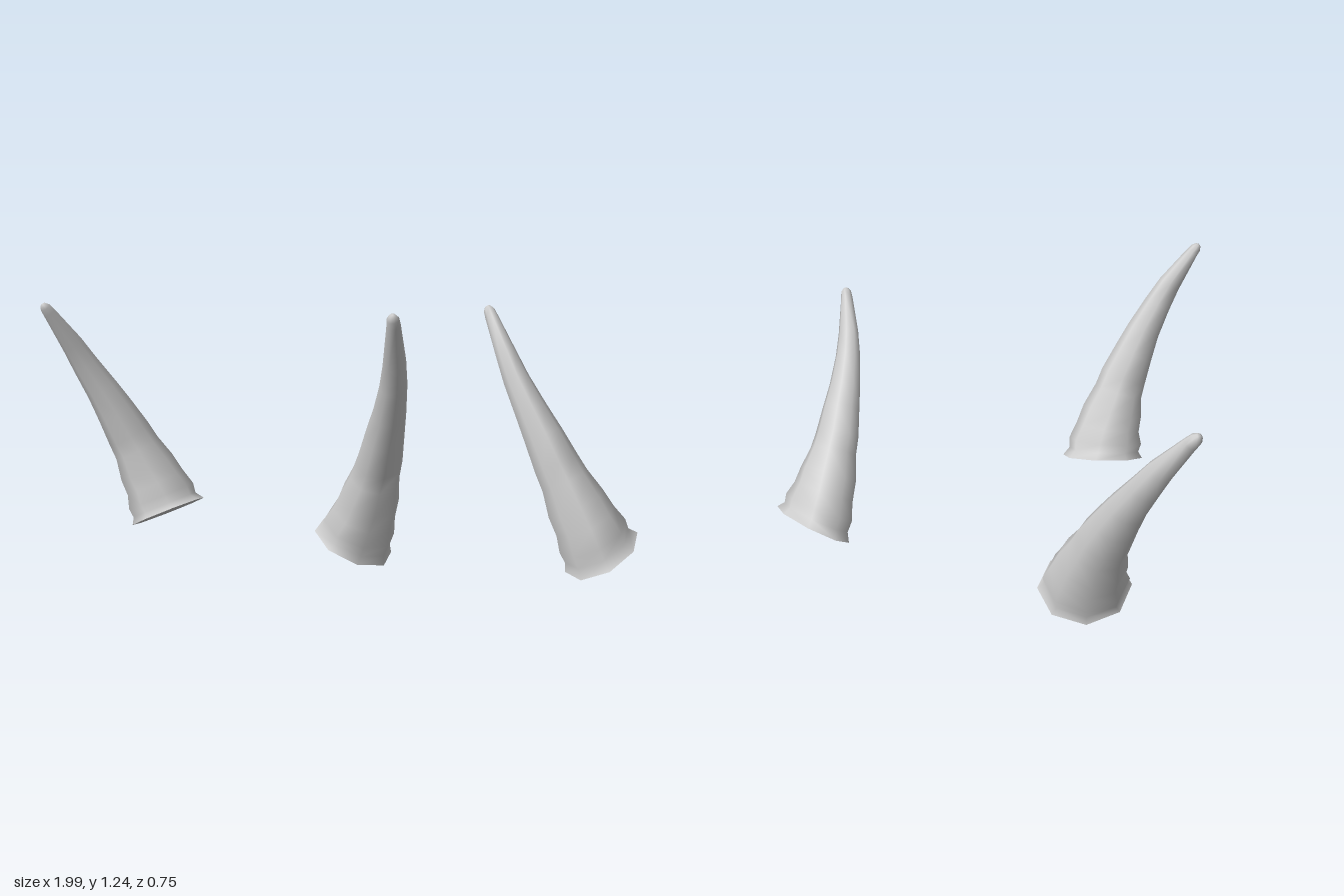
import * as THREE from 'three';

const SIDES = 8;

// Cross-sections from base to tip: centre x, y, z, then half-width and half-depth
const RINGS = [
  [0.565, 0.09, -0.152, 0.198, 0.23],
  [0.585, 0.125, -0.145, 0.173, 0.2],
  [0.603, 0.175, -0.138, 0.176, 0.208],
  [0.633, 0.25, -0.125, 0.154, 0.18],
  [0.67, 0.335, -0.1, 0.145, 0.168],
  [0.712, 0.445, -0.067, 0.118, 0.136],
  [0.745, 0.525, -0.04, 0.11, 0.129],
  [0.79, 0.65, 0.012, 0.095, 0.11],
  [0.836, 0.77, 0.065, 0.079, 0.092],
  [0.887, 0.91, 0.14, 0.063, 0.074],
  [0.918, 1.02, 0.203, 0.051, 0.061],
  [0.963, 1.19, 0.322, 0.031, 0.033],
  [0.969, 1.217, 0.344, 0.027, 0.028],
  [0.973, 1.232, 0.356, 0.015, 0.015],
];

const centre = (i) => new THREE.Vector3(...RINGS[i].slice(0, 3));

// Corners of one ring, tilted from the slanted base towards the line of the horn
function ringPoints(i) {
  const [, , , w, d] = RINGS[i];
  const last = RINGS.length - 1;
  const along = centre(Math.min(i + 1, last)).sub(centre(Math.max(i - 1, 0))).normalize();
  const n = new THREE.Vector3(0.44, 0.9, 0).lerp(along, Math.min(i / 5, 1)).normalize();
  const u = new THREE.Vector3(1, 0, 0).addScaledVector(n, -n.x).normalize();
  const v = new THREE.Vector3().crossVectors(u, n);
  return Array.from({ length: SIDES }, (_, j) => {
    const a = (j / SIDES) * Math.PI * 2 + 0.1;
    return centre(i).addScaledVector(u, w * Math.cos(a)).addScaledVector(v, d * Math.sin(a));
  });
}

// Geometry mirrored in x when side is -1, with the corner order kept outward
function toGeometry(points, index, side) {
  const geo = new THREE.BufferGeometry();
  geo.setFromPoints(points.map((p) => new THREE.Vector3(p.x * side, p.y, p.z)));
  geo.setIndex(side > 0 ? index : index.slice().reverse());
  geo.computeVertexNormals();
  return geo;
}

function hornShell(side) {
  const points = RINGS.flatMap((_, i) => ringPoints(i));
  const index = [];
  for (let i = 0; i < RINGS.length - 1; i++) {
    for (let j = 0; j < SIDES; j++) {
      const a = i * SIDES + j;
      const b = i * SIDES + ((j + 1) % SIDES);
      index.push(a, a + SIDES, b, b, a + SIDES, b + SIDES);
    }
  }
  // Closed tip
  const top = (RINGS.length - 1) * SIDES;
  points.push(new THREE.Vector3(0.975, 1.237, 0.359));
  for (let j = 0; j < SIDES; j++) {
    index.push(top + j, points.length - 1, top + ((j + 1) % SIDES));
  }
  return toGeometry(points, index, side);
}

// Flat eight-sided underside
function hornBase(side) {
  const points = [...ringPoints(0), centre(0)];
  const index = [];
  for (let j = 0; j < SIDES; j++) index.push(SIDES, j, (j + 1) % SIDES);
  return toGeometry(points, index, side);
}

export function createModel() {
  const group = new THREE.Group();
  group.name = 'hornPair';
  const material = new THREE.MeshStandardMaterial({ color: 0xcccccc });
  material.name = 'hornGrey';

  for (const side of [1, -1]) {
    const horn = new THREE.Group();
    horn.name = side > 0 ? 'leftHorn' : 'rightHorn';
    const shell = new THREE.Mesh(hornShell(side), material);
    shell.name = 'hornShell';
    const base = new THREE.Mesh(hornBase(side), material);
    base.name = 'hornBase';
    horn.add(shell, base);
    group.add(horn);
  }
  return group;
}
